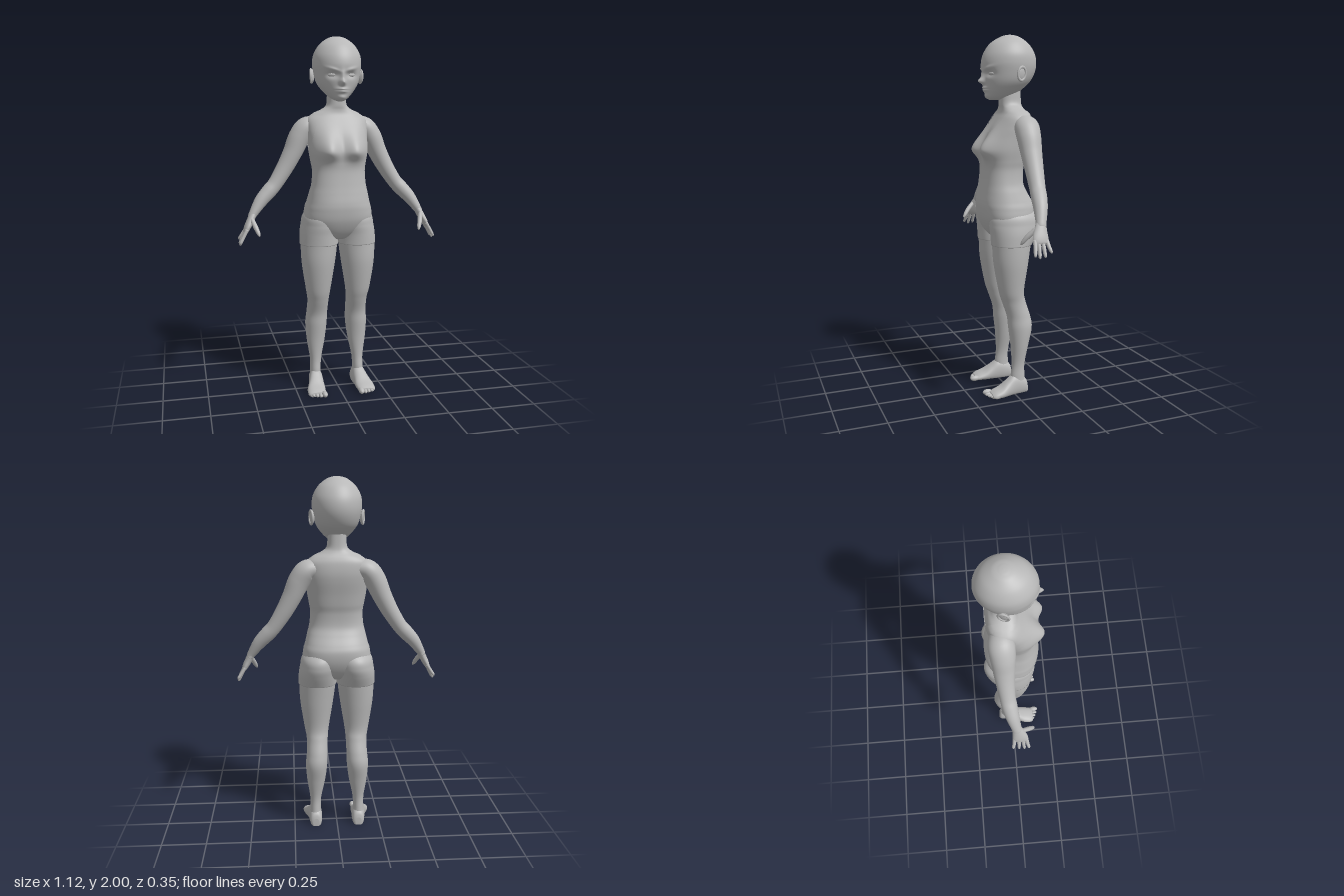
import * as THREE from 'three';

const grey = new THREE.MeshStandardMaterial({ color: 0xb8b8b8, side: THREE.DoubleSide });
grey.name = 'clay grey';

// Smooth interpolation through a list of cross-section rows
function sample(rows, t) {
  const f = THREE.MathUtils.clamp(t, 0, 1) * (rows.length - 1);
  const i = Math.min(Math.floor(f), rows.length - 2), u = f - i;
  const at = k => rows[THREE.MathUtils.clamp(k, 0, rows.length - 1)];
  const [A, B, C, D] = [at(i - 1), at(i), at(i + 1), at(i + 2)];
  return B.map((b, k) => 0.5 * (2 * b + (C[k] - A[k]) * u + (2 * A[k] - 5 * b + 4 * C[k] - D[k]) * u * u
    + (3 * b - A[k] - 3 * C[k] + D[k]) * u * u * u));
}

// Closed loft; place(row, angle, t) gives a point; keep(x, y, z) optionally trims faces
function loft(rows, place, seg, steps, keep) {
  const pos = [], faces = [];
  for (let j = 0; j <= steps; j++) {
    const t = j / steps, row = sample(rows, t);
    for (let i = 0; i < seg; i++) pos.push(...place(row, i / seg * Math.PI * 2, t));
  }
  for (const j of [0, steps]) {
    const c = [0, 0, 0];
    for (let i = 0; i < seg; i++) for (let k = 0; k < 3; k++) c[k] += pos[(j * seg + i) * 3 + k] / seg;
    pos.push(...c);
  }
  const low = (steps + 1) * seg;
  for (let i = 0; i < seg; i++) {
    const n = (i + 1) % seg;
    for (let j = 0; j < steps; j++) {
      const a = j * seg + i, b = j * seg + n;
      faces.push([a, b, b + seg], [a, b + seg, a + seg]);
    }
    faces.push([low, n, i], [low + 1, steps * seg + i, steps * seg + n]);
  }
  // Turn every face outward
  const p = k => new THREE.Vector3().fromArray(pos, k * 3);
  let volume = 0;
  for (const [a, b, c] of faces) volume += p(a).dot(p(b).cross(p(c)));
  if (volume < 0) faces.forEach(f => f.reverse());
  const kept = keep ? faces.filter(f => {
    const c = p(f[0]).add(p(f[1])).add(p(f[2])).divideScalar(3);
    return keep(c.x, c.y, c.z);
  }) : faces;
  const g = new THREE.BufferGeometry();
  g.setAttribute('position', new THREE.Float32BufferAttribute(pos, 3));
  g.setIndex(kept.flat());
  g.computeVertexNormals();
  return g;
}

const power = (v, e) => Math.sign(v) * Math.abs(v) ** e;
const bump = (x, y, sx, sy) => Math.exp(-((x / sx) ** 2) - (y / sy) ** 2);

// Upright section: [y, centre x, half width, front z, back z]
const upright = (side, e = 1, grow = 0) => ([y, cx, w, f, b], a) => [
  side * (cx + (w + grow) * power(Math.cos(a), e)), y,
  (f + b) / 2 + ((f - b) / 2 + grow) * power(Math.sin(a), e)];

// Limb section along a path: [x, y, z, thickness radius, z radius]
function limb(rows, side, seg = 20, steps = 40) {
  const Z = new THREE.Vector3(0, 0, 1);
  return loft(rows, ([x, y, z, r, rz], a, t) => {
    const u = sample(rows, t - 0.01), v = sample(rows, t + 0.01);
    const dir = new THREE.Vector3(v[0] - u[0], v[1] - u[1], v[2] - u[2]).normalize();
    const n = dir.clone().cross(Z).normalize(), b = n.clone().cross(dir);
    const q = new THREE.Vector3(x, y, z).addScaledVector(n, r * Math.cos(a)).addScaledVector(b, rz * Math.sin(a));
    return [side * q.x, q.y, q.z];
  }, seg, steps);
}

const TORSO = [
  [0.885, 0, 0.03, 0.04, -0.03], [0.90, 0, 0.08, 0.08, -0.07], [0.94, 0, 0.15, 0.112, -0.11],
  [1.0, 0, 0.185, 0.138, -0.138], [1.06, 0, 0.182, 0.148, -0.146], [1.10, 0, 0.172, 0.148, -0.133],
  [1.15, 0, 0.16, 0.141, -0.105], [1.2, 0, 0.148, 0.134, -0.085], [1.27, 0, 0.143, 0.127, -0.086],
  [1.32, 0, 0.15, 0.127, -0.098], [1.38, 0, 0.16, 0.128, -0.11], [1.45, 0, 0.166, 0.103, -0.126],
  [1.50, 0, 0.17, 0.08, -0.132], [1.55, 0, 0.168, 0.05, -0.128], [1.58, 0, 0.137, 0.033, -0.117],
  [1.605, 0, 0.087, 0.028, -0.1], [1.63, 0, 0.057, 0.03, -0.092], [1.68, 0, 0.051, 0.03, -0.09],
  [1.74, 0, 0.05, 0.03, -0.09]];
const HEAD = [
  [1.651, 0, 0.012, 0.09, 0.03], [1.658, 0, 0.03, 0.104, 0], [1.675, 0, 0.055, 0.112, -0.05],
  [1.71, 0, 0.088, 0.117, -0.1], [1.75, 0, 0.114, 0.122, -0.143], [1.80, 0, 0.128, 0.128, -0.17],
  [1.85, 0, 0.134, 0.131, -0.178], [1.90, 0, 0.128, 0.117, -0.168], [1.95, 0, 0.1, 0.083, -0.137],
  [1.985, 0, 0.058, 0.03, -0.09], [1.997, 0, 0.026, -0.004, -0.056], [2.0, 0, 0.004, -0.026, -0.034]];
const LEG = [
  [0.92, 0.107, 0.1, 0.117, -0.115], [0.86, 0.109, 0.103, 0.112, -0.105], [0.75, 0.114, 0.094, 0.105, -0.088],
  [0.6, 0.115, 0.071, 0.078, -0.066], [0.53, 0.113, 0.061, 0.057, -0.078], [0.45, 0.115, 0.06, 0.03, -0.104],
  [0.38, 0.119, 0.062, 0.022, -0.114], [0.28, 0.122, 0.052, 0.01, -0.092], [0.17, 0.125, 0.033, 0.005, -0.07],
  [0.1, 0.127, 0.031, 0.012, -0.07], [0.05, 0.127, 0.034, 0.01, -0.075]];
const SHORTS_LEG = [
  [1.08, 0.08, 0.075, 0.08, -0.09], [1.02, 0.098, 0.098, 0.122, -0.15], [0.97, 0.103, 0.104, 0.127, -0.158],
  [0.92, 0.108, 0.107, 0.122, -0.142], [0.86, 0.109, 0.108, 0.117, -0.112]];
const ARM = [
  [0.09, 1.52, -0.06, 0.04, 0.05], [0.16, 1.51, -0.06, 0.058, 0.068], [0.205, 1.455, -0.057, 0.06, 0.066],
  [0.245, 1.37, -0.055, 0.053, 0.058], [0.29, 1.286, -0.052, 0.047, 0.05], [0.345, 1.2, -0.045, 0.041, 0.043],
  [0.385, 1.155, -0.037, 0.041, 0.042], [0.43, 1.106, -0.025, 0.036, 0.037], [0.475, 1.04, -0.008, 0.024, 0.028],
  [0.485, 1.02, -0.005, 0.021, 0.028]];
const PALM = [
  [0.472, 1.045, -0.01, 0.02, 0.026], [0.492, 1.005, 0.002, 0.02, 0.034], [0.51, 0.97, 0.01, 0.018, 0.042],
  [0.522, 0.945, 0.013, 0.013, 0.04], [0.526, 0.937, 0.013, 0.006, 0.03]];
const THUMB = [
  [0.487, 1.015, 0.02, 0.012, 0.012], [0.47, 0.975, 0.06, 0.013, 0.013], [0.458, 0.945, 0.083, 0.01, 0.01],
  [0.453, 0.93, 0.093, 0.004, 0.004]];
// Foot section: [z, centre x, half width, top y]
const FOOT = [
  [-0.087, 0.125, 0.018, 0.045], [-0.076, 0.125, 0.032, 0.075], [-0.04, 0.126, 0.038, 0.1], [0, 0.129, 0.04, 0.105],
  [0.04, 0.135, 0.045, 0.078], [0.08, 0.142, 0.052, 0.05], [0.12, 0.145, 0.05, 0.034], [0.14, 0.143, 0.042, 0.024]];

// Torso surface with bust; grow offsets it for clothing
const torsoPoint = grow => (row, a) => {
  const p = upright(1, 0.82, grow)(row, a);
  if (Math.sin(a) > 0) {
    const dy = p[1] - 1.385;
    p[2] += 0.05 * Math.sin(a) * bump(Math.abs(p[0]) - 0.08, dy, 0.058, dy > 0 ? 0.085 : 0.05);
  }
  return p;
};

// Head surface with brow, eye sockets, nose, lips and chin
function headPoint(row, a) {
  const p = upright(1)(row, a), [x, y] = p, m = Math.abs(x);
  if (Math.sin(a) > 0.2) {
    p[2] += 0.03 * bump(x, y - 1.75, 0.015, 0.016) + 0.012 * bump(x, y - 1.78, 0.013, 0.03)
      - 0.014 * bump(m - 0.05, y - 1.79, 0.032, 0.018)
      + 0.007 * bump(m - 0.05, y - 1.812 - 0.3 * (m - 0.03), 0.035, 0.009)
      + 0.017 * bump(x, y - 1.709, 0.028, 0.014) - 0.009 * bump(x, y - 1.709, 0.03, 0.004)
      + 0.006 * bump(x, y - 1.672, 0.025, 0.012);
  }
  return p;
}

// Tank top outline: scooped neckline and armholes
function inTank(x, y, z) {
  const m = Math.abs(x), scoop = (z > -0.045 ? 1.475 : 1.5) + 0.1 * (m / 0.093) ** 4;
  const armhole = y < 1.4 || m < 0.127 + Math.max(0, 1.52 - y) * 0.33;
  return y > 1.06 - 0.2 * z && y < scoop && armhole;
}

export function createModel() {
  const model = new THREE.Group();
  model.name = 'figure';
  const add = (name, geo, parent = model) => {
    const mesh = new THREE.Mesh(geo, grey);
    mesh.name = name;
    parent.add(mesh);
    return mesh;
  };
  const ball = new THREE.SphereGeometry(1, 20, 14);

  add('torso', loft(TORSO, torsoPoint(0), 96, 120));
  add('tankTop', loft(TORSO, torsoPoint(0.0035), 128, 180, inTank));
  add('shorts', loft(TORSO, torsoPoint(0.005), 96, 180, (x, y, z) => y < 1.08 - 0.2 * z));
  add('head', loft(HEAD, headPoint, 128, 110));

  for (const side of [1, -1]) {
    const s = side > 0 ? 'left' : 'right';

    // Face and ears
    const eye = add(s + 'Eye', ball);
    eye.position.set(side * 0.05, 1.79, 0.095);
    eye.scale.set(0.026, 0.012, 0.012);
    eye.rotation.y = side * 0.3;
    const ear = new THREE.Group();
    ear.name = s + 'Ear';
    ear.position.set(side * 0.133, 1.788, -0.042);
    ear.rotation.set(-0.15, side * 0.3, 0);
    add('earBowl', ball, ear).scale.set(0.01, 0.038, 0.026);
    const rim = add('earRim', new THREE.TorusGeometry(0.026, 0.006, 10, 28), ear);
    rim.position.x = side * 0.006;
    rim.rotation.y = Math.PI / 2;
    rim.scale.y = 1.35;
    model.add(ear);

    // Arm and hand
    add(s + 'Arm', limb(ARM, side, 32, 70));
    const hand = new THREE.Group();
    hand.name = s + 'Hand';
    model.add(hand);
    add('palm', limb(PALM, side, 24, 24), hand);
    add('thumb', limb(THUMB, side, 14, 18), hand);
    [[-0.02, -0.03, 0.895], [0.002, 0.002, 0.876], [0.024, 0.031, 0.872], [0.043, 0.056, 0.882]].forEach(([z0, z1, tip]) => {
      const mid = (0.955 + tip) / 2;
      add('finger', limb([[0.515, 0.96, z0, 0.01, 0.011], [0.537, mid, (z0 + z1) / 2, 0.0095, 0.01],
        [0.551, tip + 0.01, z1, 0.008, 0.008], [0.555, tip, z1, 0.003, 0.003]], side, 12, 16), hand);
    });

    // Leg, shorts leg and foot
    add(s + 'Leg', loft(LEG, upright(side), 40, 80));
    add(s + 'ShortsLeg', loft(SHORTS_LEG, upright(side), 48, 40));
    const foot = new THREE.Group();
    foot.name = s + 'Foot';
    model.add(foot);
    add('footBody', loft(FOOT, ([z, cx, w, top], a) => [side * (cx + w * power(Math.cos(a), 0.8)),
      Math.max(0, top * (0.4 + 0.6 * Math.sin(a))), z], 32, 40), foot);
    [[0.107, 0.148, 0.016, 0.028], [0.13, 0.145, 0.011, 0.025], [0.15, 0.138, 0.0105, 0.024],
      [0.169, 0.128, 0.01, 0.023], [0.186, 0.115, 0.01, 0.021]].forEach(([x, z, r, length]) => {
      const toe = add('toe', ball, foot);
      toe.position.set(side * x, r, z);
      toe.scale.set(r, r, length);
    });
  }
  return model;
}
